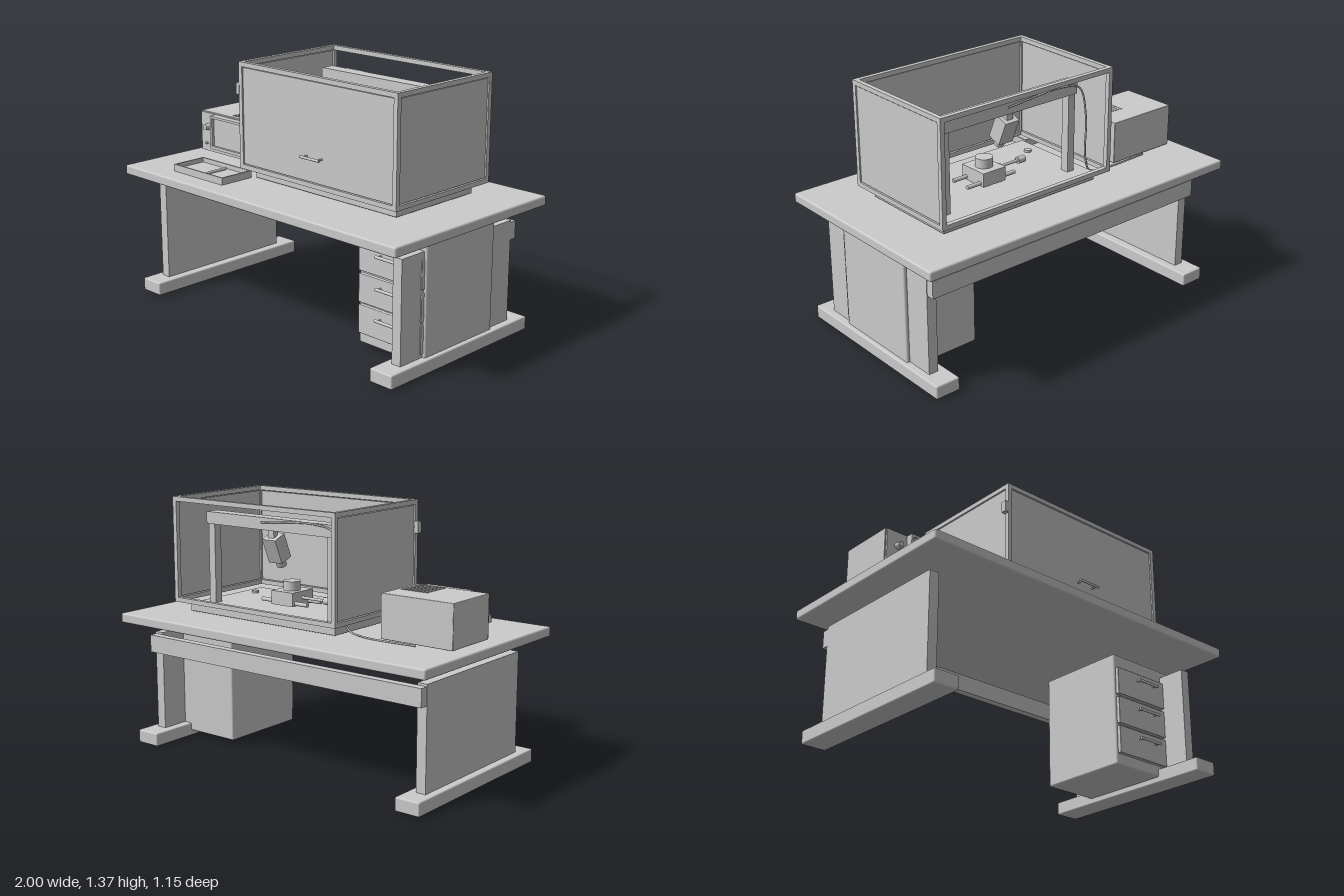
import * as THREE from 'three';
import { RoundedBoxGeometry } from 'three/addons/geometries/RoundedBoxGeometry.js';

export function createModel() {
  const model = new THREE.Group();
  const grey = new THREE.MeshStandardMaterial({ color: 0xcccccc });
  grey.name = 'light grey';

  const group = (name) => {
    const g = new THREE.Group();
    g.name = name;
    model.add(g);
    return g;
  };
  const add = (parent, name, geometry) => {
    const m = new THREE.Mesh(geometry, grey);
    m.name = name;
    parent.add(m);
    return m;
  };
  // Box given by its extents on each axis, optionally with rounded edges
  const box = (parent, name, [x0, x1], [y0, y1], [z0, z1], r = 0) => {
    const s = [x1 - x0, y1 - y0, z1 - z0];
    const m = add(parent, name, r ? new RoundedBoxGeometry(...s, 2, r) : new THREE.BoxGeometry(...s));
    m.position.set((x0 + x1) / 2, (y0 + y1) / 2, (z0 + z1) / 2);
    return m;
  };
  // Cylinder centred at a point and laid along an axis
  const rod = (parent, name, axis, length, r, x, y, z, r2 = r) => {
    const g = new THREE.CylinderGeometry(r2, r, length, 24);
    if (axis === 'x') g.rotateZ(-Math.PI / 2);
    if (axis === 'z') g.rotateX(Math.PI / 2);
    const m = add(parent, name, g);
    m.position.set(x, y, z);
    return m;
  };

  // Desk
  const desk = group('desk');
  box(desk, 'desktop', [-1, 1], [0.682, 0.735], [-0.577, 0.577], 0.01);
  for (const s of [-1, 1]) {
    const span = (a, b) => (s > 0 ? [a, b] : [-b, -a]);
    box(desk, 'legPanel', span(0.848, 0.903), [0.06, 0.617], [-0.415, 0.42]);
    box(desk, 'foot', span(0.802, 0.944), [0, 0.073], [-0.527, 0.527], 0.008);
  }
  box(desk, 'rearBeam', [-0.9, 0.9], [0.51, 0.605], [-0.458, -0.413]);

  // Drawer cabinet
  const cabinet = group('drawerCabinet');
  box(cabinet, 'cabinetBody', [0.483, 0.92], [0.03, 0.657], [-0.257, 0.26], 0.01);
  for (const y of [0.09, 0.256, 0.424]) {
    box(cabinet, 'drawerFront', [0.495, 0.908], [y, y + 0.153], [0.255, 0.28], 0.004);
    rod(cabinet, 'drawerHandle', 'x', 0.15, 0.008, 0.705, y + 0.108, 0.305);
    for (const x of [0.645, 0.765]) rod(cabinet, 'handlePost', 'z', 0.03, 0.005, x, y + 0.108, 0.291);
  }

  // Enclosure platform
  const platform = group('platform');
  box(platform, 'platformSlab', [-0.28, 0.72], [0.742, 0.787], [-0.319, 0.257], 0.004);
  for (const x of [-0.195, 0.635]) for (const z of [-0.205, 0.114]) {
    rod(platform, 'spacer', 'y', 0.014, 0.02, x, 0.792, z);
    rod(platform, 'platformFoot', 'y', 0.01, 0.015, x, 0.738, z);
  }

  // Enclosure frame: twelve square bars
  const enclosure = group('enclosure');
  const X = [-0.33, 0.775], Y = [0.797, 1.37], Z = [-0.384, 0.322], t = 0.025;
  const ends = ([a, b]) => [[a, a + t], [b - t, b]];
  const inner = ([a, b]) => [a + t, b - t];
  for (const x of ends(X)) for (const z of ends(Z)) box(enclosure, 'frameUpright', x, Y, z);
  for (const y of ends(Y)) {
    for (const z of ends(Z)) box(enclosure, 'frameLongRail', inner(X), y, z);
    for (const x of ends(X)) box(enclosure, 'frameSideRail', x, y, inner(Z));
  }

  // Wall panels on three sides, with a shadow gap to the frame
  const gap = 0.004;
  const inset = (range) => { const [a, b] = inner(range); return [a + gap, b - gap]; };
  box(enclosure, 'frontDoor', inset(X), inset(Y), [0.303, 0.317]);
  box(enclosure, 'leftPanel', [0.756, 0.77], inset(Y), inset(Z));
  box(enclosure, 'rightPanel', [-0.325, -0.311], inset(Y), inset(Z));
  rod(enclosure, 'doorHandle', 'x', 0.135, 0.007, 0.222, 0.957, 0.352);
  for (const x of [0.17, 0.274]) rod(enclosure, 'doorHandlePost', 'z', 0.04, 0.005, x, 0.957, 0.335);
  box(enclosure, 'latch', [-0.352, -0.326], [1.193, 1.257], [0.292, 0.324], 0.003);

  // Gantry with tilted camera
  const gantry = group('gantry');
  for (const x of [-0.188, 0.633]) box(gantry, 'gantryPost', [x - 0.022, x + 0.022], [0.785, 1.225], [-0.235, -0.187]);
  box(gantry, 'gantryBeam', [-0.21, 0.655], [1.22, 1.285], [-0.25, -0.172]);
  box(gantry, 'cameraBracket', [0.2, 0.24], [1.17, 1.225], [-0.225, -0.195]);
  const camera = new THREE.Group();
  camera.name = 'camera';
  camera.position.set(0.22, 1.12, -0.18);
  camera.rotation.x = -0.4;
  gantry.add(camera);
  box(camera, 'cameraBody', [-0.045, 0.045], [-0.07, 0.07], [-0.04, 0.04]);
  rod(camera, 'cameraLens', 'y', 0.04, 0.027, 0, -0.088, 0);

  // Sample stage with rails and micrometer
  const stage = group('stage');
  for (const z of [-0.095, 0.018]) rod(stage, 'stageRail', 'x', 0.315, 0.011, 0.238, 0.815, z);
  box(stage, 'stageBlock', [0.163, 0.31], [0.8, 0.875], [-0.122, 0.05]);
  rod(stage, 'samplePedestal', 'y', 0.05, 0.047, 0.236, 0.9, -0.038);
  rod(stage, 'micrometerShaft', 'x', 0.17, 0.008, 0.085, 0.84, -0.038);
  rod(stage, 'micrometerThimble', 'x', 0.045, 0.019, -0.012, 0.84, -0.038);

  // Bench instrument
  const instrument = group('instrument');
  box(instrument, 'instrumentCase', [-0.927, -0.503], [0.745, 0.977], [-0.24, 0.08], 0.004);
  box(instrument, 'instrumentFascia', [-0.92, -0.51], [0.75, 0.972], [0.075, 0.09]);
  // Screen bezel with a recessed screen
  box(instrument, 'screen', [-0.783, -0.537], [0.795, 0.958], [0.085, 0.115]);
  for (const y of [[0.78, 0.797], [0.957, 0.97]]) box(instrument, 'bezelRail', [-0.8, -0.524], y, [0.085, 0.13]);
  for (const x of [[-0.8, -0.785], [-0.537, -0.524]]) box(instrument, 'bezelSide', x, [0.797, 0.957], [0.085, 0.13]);
  rod(instrument, 'dial', 'z', 0.035, 0.019, -0.855, 0.893, 0.105, 0.016);
  for (const x of [-0.873, -0.83]) rod(instrument, 'button', 'z', 0.015, 0.007, x, 0.795, 0.094);
  for (const x of [-0.865, -0.565]) for (const z of [-0.19, 0.03]) {
    rod(instrument, 'instrumentFoot', 'y', 0.014, 0.014, x, 0.74, z);
  }
  for (let i = 0; i < 8; i++) for (let j = 0; j < 5; j++) {
    const x = -0.685 + i * 0.021, z = -0.11 + j * 0.036;
    box(instrument, 'ventSlot', [x, x + 0.007], [0.975, 0.98], [z, z + 0.024]);
  }

  // Open tray holding a pen
  const tray = group('tray');
  const tx = [-0.705, -0.31], tz = [0.263, 0.47], w = 0.009;
  box(tray, 'trayFloor', tx, [0.736, 0.75], tz);
  for (const x of [[tx[0], tx[0] + w], [tx[1] - w, tx[1]]]) box(tray, 'trayEnd', x, [0.745, 0.775], tz);
  for (const z of [[tz[0], tz[0] + w], [tz[1] - w, tz[1]]]) box(tray, 'traySide', [tx[0] + w, tx[1] - w], [0.745, 0.775], z);
  rod(tray, 'penBarrel', 'z', 0.115, 0.008, -0.485, 0.758, 0.35);
  rod(tray, 'penTip', 'z', 0.028, 0.008, -0.485, 0.758, 0.421, 0.002);

  // Cable from the instrument up to the gantry
  const path = new THREE.CatmullRomCurve3([
    [-0.72, 0.742, -0.246], [-0.4, 0.742, -0.246], [-0.31, 0.765, -0.248], [-0.275, 0.86, -0.252],
    [-0.27, 1.08, -0.257], [-0.22, 1.25, -0.258], [-0.1, 1.28, -0.257], [0.26, 1.26, -0.257],
  ].map((p) => new THREE.Vector3(...p)));
  add(model, 'cable', new THREE.TubeGeometry(path, 64, 0.005, 8));

  return model;
}
